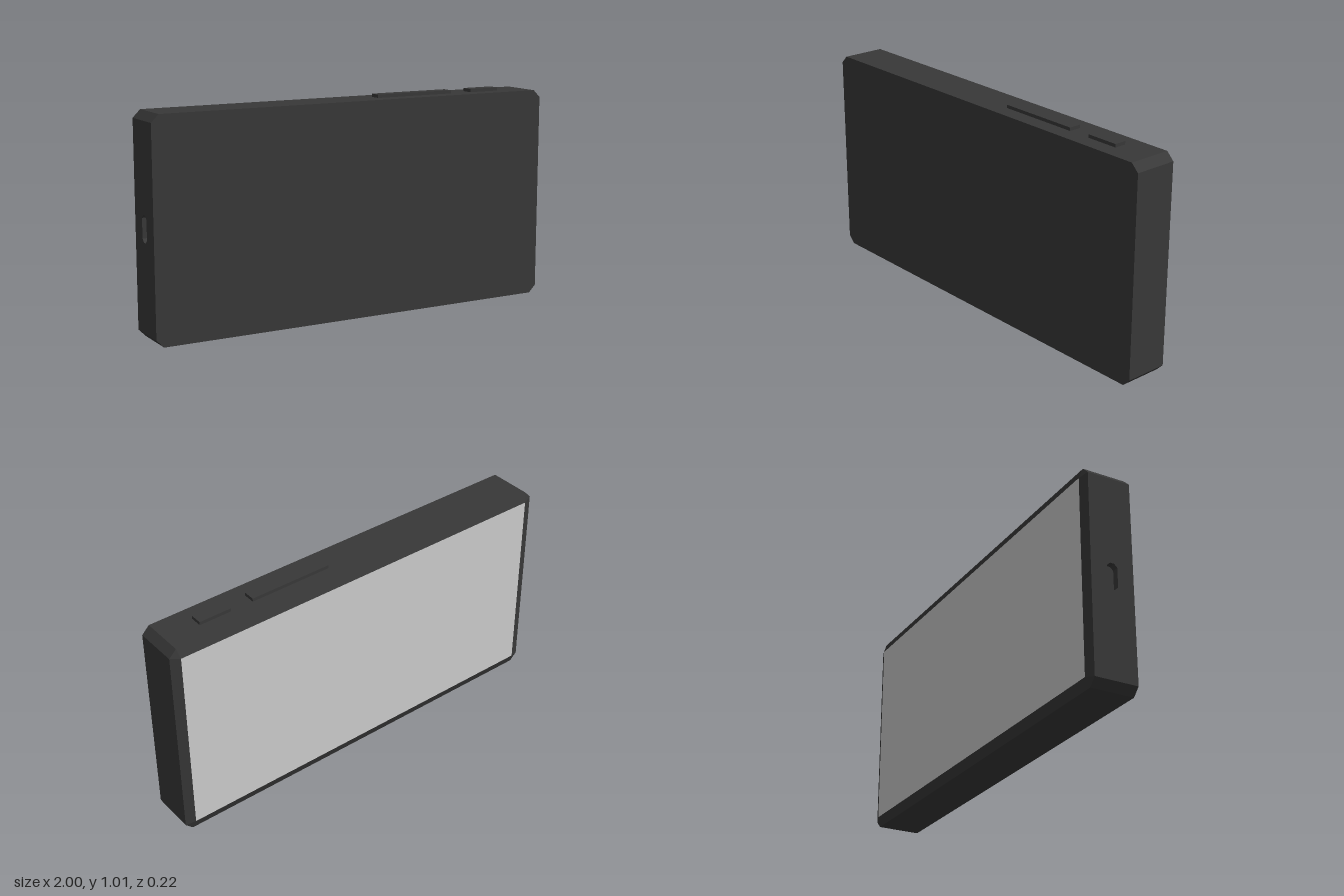
import * as THREE from 'three';

const H = 0.998, FRONT = 0.11, EDGE = -0.094, BACK = -0.11;
const CUT = 0.035, INSET = 0.045;

// Rectangle with cut corners, counter-clockwise, starting low on the right side
function cutRect(x0, x1, y0, y1, c) {
  return [
    [x1, y0 + c], [x1, y1 - c], [x1 - c, y1], [x0 + c, y1],
    [x0, y1 - c], [x0, y0 + c], [x0 + c, y0], [x1 - c, y0],
  ];
}

// Flat-shaded geometry from convex polygons
function polygons(faces) {
  const pos = [];
  for (const f of faces) {
    for (let i = 1; i < f.length - 1; i++) pos.push(...f[0], ...f[i], ...f[i + 1]);
  }
  const g = new THREE.BufferGeometry();
  g.setAttribute('position', new THREE.Float32BufferAttribute(pos, 3));
  g.computeVertexNormals();
  return g;
}

export function createModel() {
  const model = new THREE.Group();
  model.name = 'handset';
  const charcoal = new THREE.MeshStandardMaterial({ color: 0x383838 });
  charcoal.name = 'charcoal';
  const screenGrey = new THREE.MeshStandardMaterial({ color: 0xcccccc });
  screenGrey.name = 'screenGrey';

  const add = (name, geometry, material) => {
    const mesh = new THREE.Mesh(geometry, material);
    mesh.name = name;
    model.add(mesh);
    return mesh;
  };

  // Body: cut-corner slab, bevelled towards the rectangular screen
  const outline = cutRect(-1, 1, 0, H, CUT);
  const inner = outline.map(([x, y]) => [
    Math.sign(x) * (1 - INSET), y > H / 2 ? H - INSET : INSET, BACK,
  ]);
  const faces = [outline.map(([x, y]) => [x, y, FRONT])];
  outline.forEach(([x, y], i) => {
    const j = (i + 1) % outline.length;
    const [nx, ny] = outline[j];
    // the side at -x is a separate panel with the port opening
    if (i !== 4) faces.push([[x, y, FRONT], [x, y, EDGE], [nx, ny, EDGE], [nx, ny, FRONT]]);
    const isCorner = inner[i][0] === inner[j][0] && inner[i][1] === inner[j][1];
    faces.push(isCorner
      ? [[x, y, EDGE], inner[i], [nx, ny, EDGE]]
      : [[x, y, EDGE], inner[i], inner[j], [nx, ny, EDGE]]);
  });
  add('body', polygons(faces), charcoal);

  // Screen filling the bevelled frame
  const screen = new THREE.PlaneGeometry(2 - 2 * INSET, H - 2 * INSET);
  screen.rotateY(Math.PI).translate(0, H / 2, BACK);
  add('screen', screen, screenGrey);

  // Side panel with a port opening
  const port = cutRect(-0.017, 0.033, H / 2 - 0.06, H / 2 + 0.06, 0.015);
  const toVectors = (pts) => pts.map(([u, v]) => new THREE.Vector2(u, v));
  const panel = new THREE.Shape(toVectors([
    [EDGE, CUT], [FRONT, CUT], [FRONT, H - CUT], [EDGE, H - CUT],
  ]));
  panel.holes.push(new THREE.Path(toVectors(port).reverse()));
  const side = new THREE.ShapeGeometry(panel);
  side.rotateY(-Math.PI / 2).translate(-1, 0, 0);
  add('portSide', side, charcoal);

  // Recess behind the opening
  const depth = -0.97;
  const recess = [port.map(([z, y]) => [depth, y, z])];
  port.forEach(([z, y], i) => {
    const [nz, ny] = port[(i + 1) % port.length];
    recess.push([[-1, y, z], [-1, ny, nz], [depth, ny, nz], [depth, y, z]]);
  });
  add('portRecess', polygons(recess), charcoal);

  // Buttons on the top edge
  for (const [name, x0, x1] of [['volumeButton', 0.137, 0.537], ['powerButton', 0.647, 0.802]]) {
    const button = add(name, new THREE.BoxGeometry(x1 - x0, 0.035, 0.056), charcoal);
    button.position.set((x0 + x1) / 2, 1.013 - 0.0175, 0.008);
  }

  return model;
}
